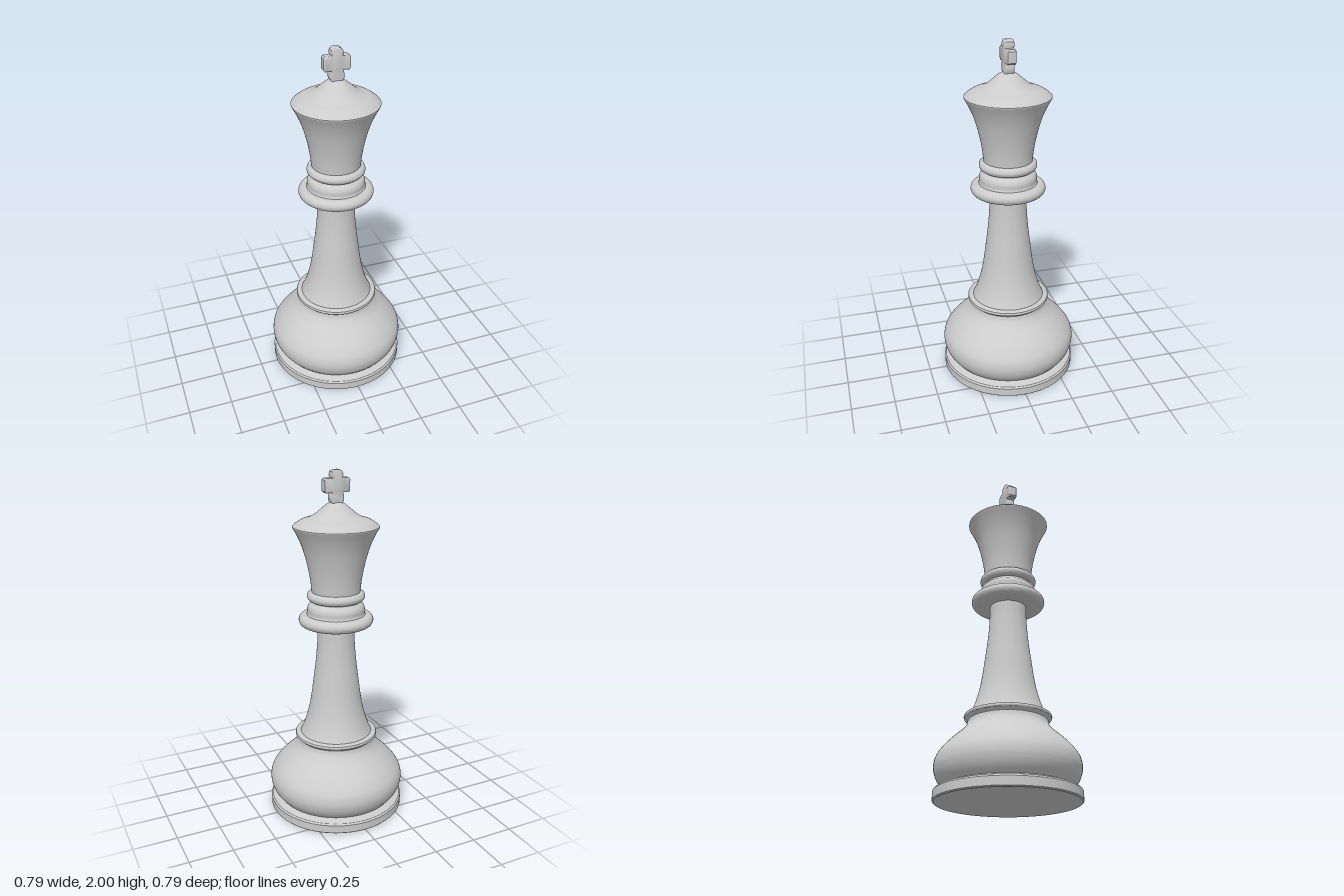
import * as THREE from 'three';
import { toCreasedNormals } from 'three/addons/utils/BufferGeometryUtils.js';

const material = new THREE.MeshStandardMaterial({ color: 0xcccccc });
const v = ([x, y]) => new THREE.Vector2(x, y);

// Smooth curve through [radius, height] points
const curve = (points, n = 24) => new THREE.SplineCurve(points.map(v)).getPoints(n);

// Half-round moulding bulging outwards between two heights
function bead(radius, y0, y1, bulge, n = 12) {
  return Array.from({ length: n + 1 }, (_, i) => {
    const a = -Math.PI / 2 + (Math.PI * i) / n;
    return new THREE.Vector2(radius + bulge * Math.cos(a), (y0 + y1) / 2 + ((y1 - y0) / 2) * Math.sin(a));
  });
}

// Turned part, closed to the axis at both ends
function turned(name, profile) {
  const first = profile[0], last = profile[profile.length - 1];
  const points = [...profile];
  if (first.x > 0) points.unshift(new THREE.Vector2(0, first.y));
  if (last.x > 0) points.push(new THREE.Vector2(0, last.y));
  const mesh = new THREE.Mesh(toCreasedNormals(new THREE.LatheGeometry(points, 80), 0.6), material);
  mesh.name = name;
  return mesh;
}

// Finial cross: half outline mirrored, then extruded with a rounded edge
function finialCross() {
  const bevel = 0.008;
  const half = [[0.02, 1.82], [0.031, 1.84], [0.031, 1.86], [0.024, 1.886], [0.062, 1.886], [0.067, 1.891],
    [0.067, 1.945], [0.062, 1.95], [0.024, 1.95], [0.023, 1.96], [0.026, 1.972], [0.023, 1.985], [0.012, 1.992]];
  const outline = [...half, ...half.map(([x, y]) => [-x, y]).reverse()];
  const depth = 0.038;
  const geometry = new THREE.ExtrudeGeometry(new THREE.Shape(outline.map(v)), {
    depth, bevelEnabled: true, bevelThickness: bevel, bevelSize: bevel, bevelSegments: 4,
  });
  geometry.translate(0, 0, -depth / 2);
  const mesh = new THREE.Mesh(toCreasedNormals(geometry, 0.7), material);
  mesh.name = 'finialCross';
  return mesh;
}

export function createModel() {
  const group = new THREE.Group();
  group.name = 'chessKing';
  group.add(
    // Foot disc with eased edges
    turned('plinth', [[0.39, 0], [0.396, 0.006], [0.396, 0.052], [0.388, 0.062], [0.36, 0.07], [0.345, 0.078]].map(v)),
    // Bulbous base
    turned('baseBulb', curve([[0.345, 0.072], [0.375, 0.11], [0.392, 0.15], [0.396, 0.19], [0.385, 0.235],
      [0.35, 0.285], [0.3, 0.335], [0.255, 0.375], [0.228, 0.41], [0.22, 0.44]], 40)),
    turned('baseRing', [...curve([[0.215, 0.425], [0.222, 0.44], [0.236, 0.452]], 6),
      ...bead(0.236, 0.452, 0.472, 0.006, 6), v([0.205, 0.476])]),
    // Tapering column
    turned('column', curve([[0.212, 0.47], [0.19, 0.52], [0.165, 0.6], [0.147, 0.69], [0.132, 0.8],
      [0.117, 0.92], [0.108, 1.03], [0.104, 1.15]], 32)),
    // Collar mouldings
    turned('collar', bead(0.178, 1.134, 1.2, 0.035)),
    turned('collarStep', curve([[0.17, 1.195], [0.163, 1.21], [0.163, 1.235], [0.155, 1.255], [0.138, 1.27], [0.134, 1.29]])),
    turned('neckRing', bead(0.135, 1.277, 1.332, 0.029)),
    // Flared head and domed cap
    turned('head', curve([[0.137, 1.325], [0.145, 1.4], [0.16, 1.48], [0.184, 1.57], [0.212, 1.64], [0.24, 1.693]], 30)),
    turned('cap', [v([0.24, 1.693]), ...curve([[0.24, 1.698], [0.218, 1.716], [0.19, 1.732], [0.15, 1.745],
      [0.115, 1.764], [0.082, 1.792], [0.05, 1.817], [0.022, 1.829], [0, 1.832]], 30)]),
    finialCross(),
  );
  return group;
}
